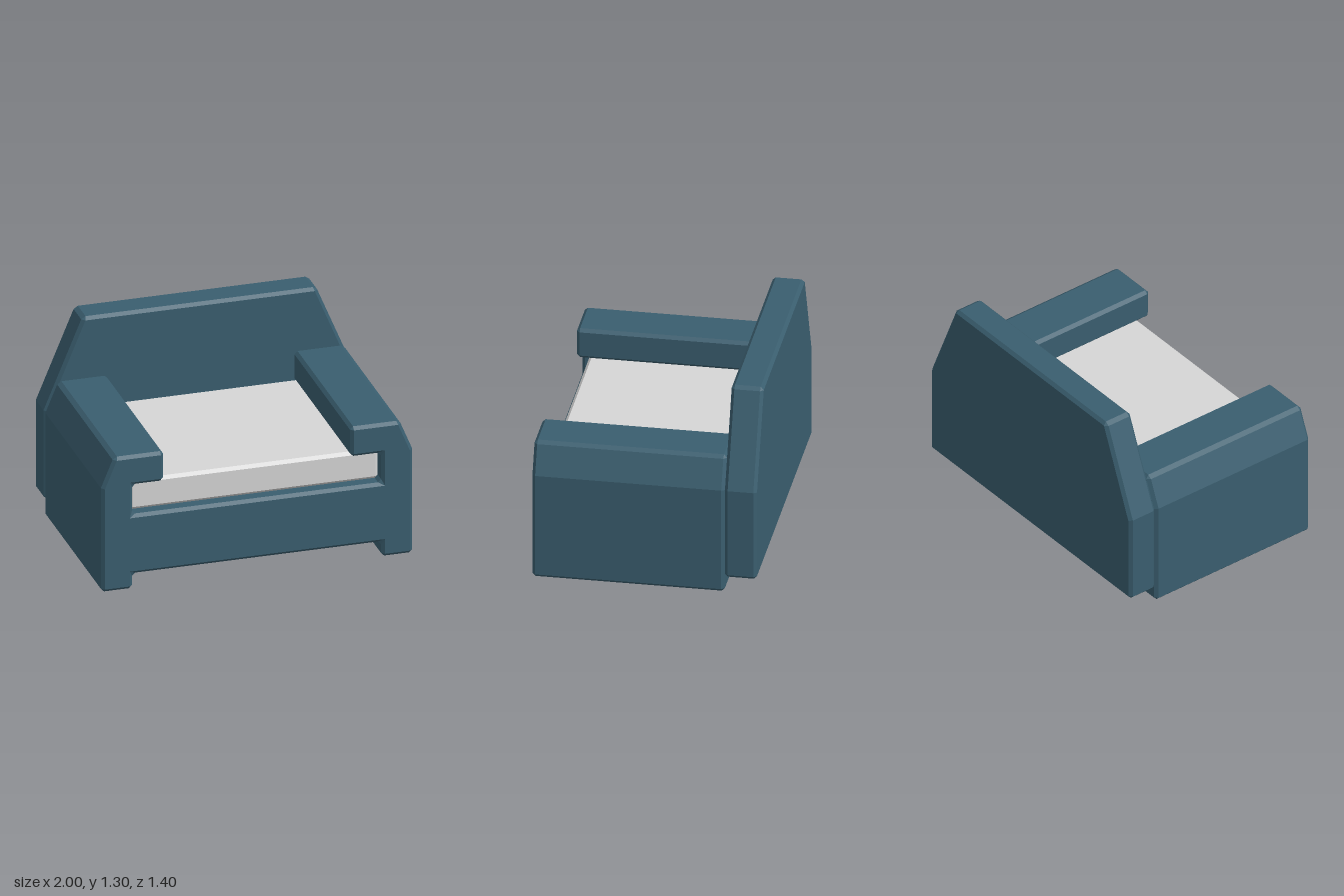
import * as THREE from 'three';

const BEVEL = 0.02;

// Extrudes a counter-clockwise outline from z0 to z1 with every sharp edge chamfered
function bevelledPrism(points, z0, z1) {
  const p = points.map(([x, y]) => new THREE.Vector2(x, y));
  const cap = [], capRing = [], wallRing = [];
  p.forEach((v, i) => {
    const d1 = v.clone().sub(p[(i + p.length - 1) % p.length]).normalize();
    const d2 = p[(i + 1) % p.length].clone().sub(v).normalize();
    const n = new THREE.Vector2(-d1.y - d2.y, d1.x + d2.x);
    const c = v.clone().addScaledVector(n, BEVEL / (1 + d1.dot(d2)));
    const cut = d1.dot(d2) < 0.86 ? BEVEL : 0; // shallow corners stay unchamfered
    cap.push(c);
    capRing.push(c, c);
    wallRing.push(v.clone().addScaledVector(d1, -cut), v.clone().addScaledVector(d2, cut));
  });

  const pos = [];
  const at = (ring, z) => ring.map((v) => new THREE.Vector3(v.x, v.y, z));
  const tri = (a, b, c) => {
    if (new THREE.Triangle(a, b, c).getArea() < 1e-9) return;
    for (const v of [a, b, c]) pos.push(v.x, v.y, v.z);
  };

  // Chamfer, wall, chamfer
  const rings = [at(capRing, z0), at(wallRing, z0 + BEVEL), at(wallRing, z1 - BEVEL), at(capRing, z1)];
  for (let r = 0; r < 3; r++) {
    const lo = rings[r], hi = rings[r + 1];
    for (let k = 0; k < lo.length; k++) {
      const m = (k + 1) % lo.length;
      tri(lo[k], lo[m], hi[m]);
      tri(lo[k], hi[m], hi[k]);
    }
  }

  // End caps
  const back = at(cap, z0), front = at(cap, z1);
  for (const [a, b, c] of THREE.ShapeUtils.triangulateShape(cap, [])) {
    tri(front[a], front[b], front[c]);
    tri(back[a], back[c], back[b]);
  }

  const g = new THREE.BufferGeometry();
  g.setAttribute('position', new THREE.Float32BufferAttribute(pos, 3));
  g.computeVertexNormals();
  return g;
}

// Completes a right-hand half outline (bottom to top) with its mirror image
const mirrored = (half) => [...half, ...half.map(([x, y]) => [-x, y]).reverse()];

export function createModel() {
  const group = new THREE.Group();
  const fabric = new THREE.MeshStandardMaterial({ name: 'blue fabric', color: 0x3a5e6f });
  const pale = new THREE.MeshStandardMaterial({ name: 'pale cushion', color: 0xd6d6d6 });
  const add = (name, outline, z0, z1, material) => {
    const mesh = new THREE.Mesh(bevelledPrism(outline, z0, z1), material);
    mesh.name = name;
    group.add(mesh);
  };

  // Base, side runners and overhanging armrests in one section
  add('frameWithArmrests', mirrored([
    [0.8, 0.1], [0.8, 0], [1, 0], [1, 0.7], [0.917, 0.9],
    [0.6, 0.9], [0.6, 0.7], [0.8, 0.7], [0.8, 0.5],
  ]), -0.5, 0.7, fabric);

  // Tapered backrest
  add('backrest', mirrored([[1, 0.1], [1, 0.7], [0.75, 1.3]]), -0.7, -0.5, fabric);

  // Cushion sliding into the slot under the armrests
  add('seatCushion', mirrored([[0.8, 0.5], [0.8, 0.7]]), -0.51, 0.63, pale);

  return group;
}
